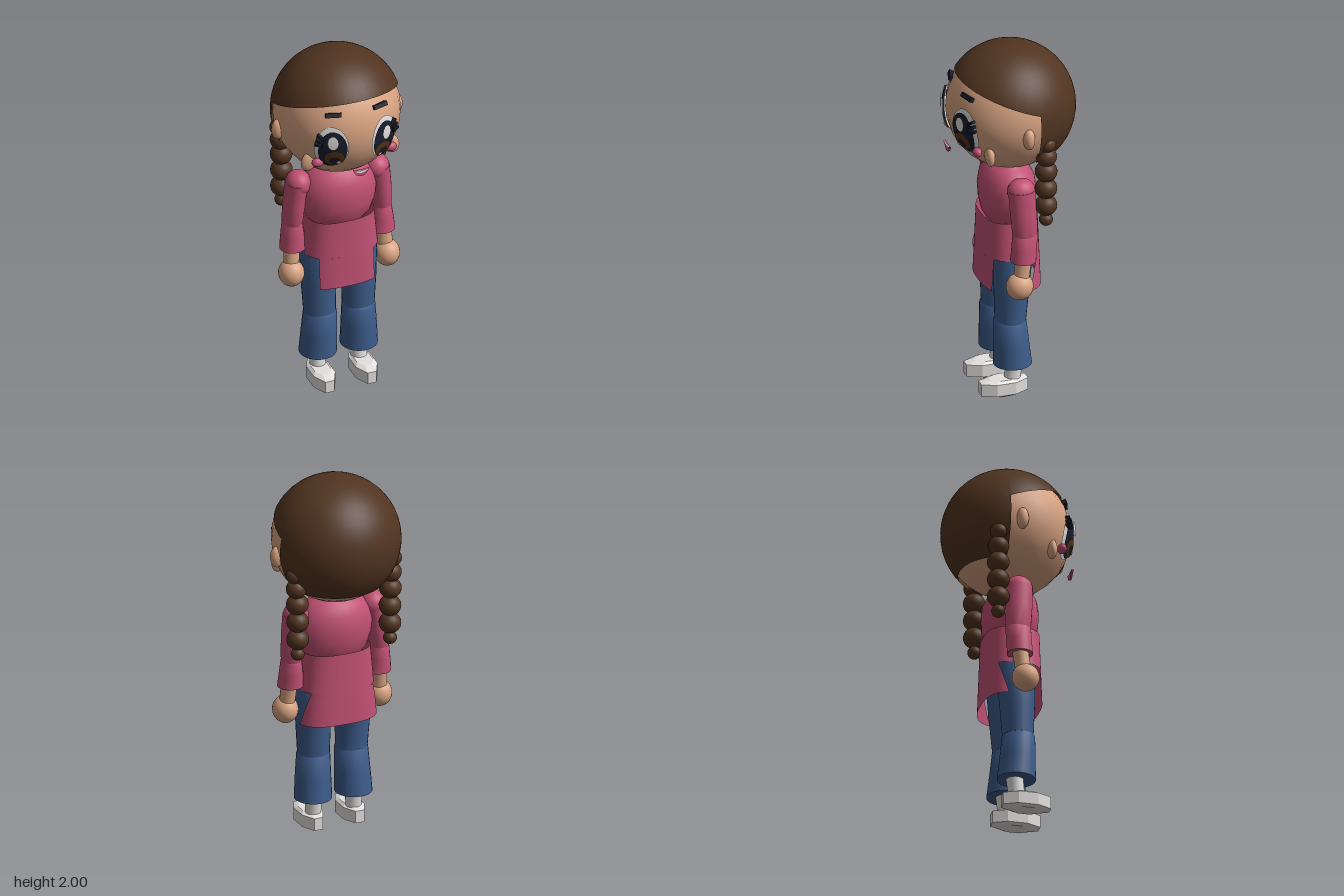
import * as THREE from 'three';
import { toCreasedNormals } from 'three/addons/utils/BufferGeometryUtils.js';

const mat = (name, color) => new THREE.MeshStandardMaterial({ name, color, side: THREE.DoubleSide });

// Grid surface from a rule f(u, v) -> [x, y, z], u and v in 0..1
function surface(f, nu, nv, crease = 0.7) {
  const pos = [], idx = [];
  for (let j = 0; j <= nv; j++) for (let i = 0; i <= nu; i++) pos.push(...f(i / nu, j / nv));
  for (let j = 0; j < nv; j++) for (let i = 0; i < nu; i++) {
    const a = j * (nu + 1) + i, b = a + nu + 1;
    idx.push(a, a + 1, b + 1, a, b + 1, b);
  }
  const g = new THREE.BufferGeometry();
  g.setAttribute('position', new THREE.Float32BufferAttribute(pos, 3));
  g.setIndex(idx);
  return toCreasedNormals(g, crease);
}

// Closed loft through horizontal ellipses [y, cx, rx, cz, rz], listed bottom to top
function loft(sections, segs = 24, crease = 0.7) {
  const first = sections[0], last = sections[sections.length - 1];
  const rings = [[first[0], first[1], 0, first[3], 0], ...sections, [last[0], last[1], 0, last[3], 0]];
  return surface((u, v) => {
    const [y, cx, rx, cz, rz] = rings[Math.round(v * (rings.length - 1))];
    const a = (u * 2 - 1) * Math.PI + Math.PI / segs;
    return [cx + rx * Math.sin(a), y, cz + rz * Math.cos(a)];
  }, segs, rings.length - 1, crease);
}

export function createModel() {
  const skin = mat('skin', 0xd9a482), hair = mat('hair brown', 0x513420), pink = mat('pink cloth', 0xc25175);
  const denim = mat('denim', 0x3d5c8a), white = mat('white', 0xe4e2e0), dark = mat('black', 0x1a1e2c);
  const iris = mat('iris brown', 0x5c3517);
  const model = new THREE.Group();

  const add = (parent, name, geo, material, p = [0, 0, 0], r = [0, 0, 0]) => {
    const m = new THREE.Mesh(geo, material);
    m.name = name;
    m.position.set(...p);
    m.rotation.set(...r);
    parent.add(m);
    return m;
  };
  const ball = (parent, name, material, p, rx, ry = rx, rz = rx, r) =>
    add(parent, name, new THREE.SphereGeometry(1, 24, 16), material, p, r).scale.set(rx, ry, rz);

  // Head
  const head = new THREE.Group();
  head.name = 'head';
  head.position.y = 1.65;
  model.add(head);
  const R = 0.34;
  ball(head, 'face', skin, [0, 0, 0], R);

  // Hair: tilted cap, plus a back shell cut at the ears and the nape
  const H = 0.352, tilt = Math.atan(0.368);
  add(head, 'hairCap', new THREE.SphereGeometry(H, 36, 12, 0, Math.PI * 2, 0, Math.acos(0.0915 / H)),
    hair, [0, 0, 0], [-tilt, 0, 0]);
  const t0 = 0.2, t1 = Math.acos(-0.24 / H);
  add(head, 'hairBack', surface((u, v) => {
    const t = t1 + (t0 - t1) * v, rho = H * Math.sin(t);
    const a = (1 - 2 * u) * Math.acos(Math.min(1, 0.06 / rho));
    return [rho * Math.sin(a), H * Math.cos(t), -rho * Math.cos(a)];
  }, 24, 16), hair);

  // Thin oval that follows the curve of the face
  const decal = (name, material, cx, cy, rx, ry, lift) => {
    const g = surface((u, v) => {
      const a = u * Math.PI * 2, k = 1 - v;
      const x = cx + rx * k * Math.cos(a), y = cy + ry * k * Math.sin(a);
      return [x, y, Math.sqrt((R + lift) ** 2 - x * x - y * y)];
    }, 28, 4);
    add(head, name, g, material);
  };

  for (const s of [1, -1]) {
    decal('eyeWhite', white, s * 0.148, -0.043, 0.083, 0.132, 0.006);
    decal('eyeDark', dark, s * 0.146, -0.05, 0.07, 0.116, 0.013);
    decal('iris', iris, s * 0.138, -0.103, 0.05, 0.05, 0.018);
    decal('pupil', dark, s * 0.138, -0.115, 0.026, 0.026, 0.021);
    decal('eyeShine', white, s * 0.153, 0.005, 0.027, 0.042, 0.026);
    decal('eyeGlint', white, s * 0.118, -0.125, 0.011, 0.011, 0.026);
    // Lashes, brows, ears and cheeks
    for (let i = 0; i < 3; i++)
      add(head, 'eyelash', new THREE.BoxGeometry(0.045, 0.013, 0.022), dark,
        [s * (0.205 + i * 0.006), 0.03 - i * 0.022, 0.285], [0, s * 0.6, s * (0.6 - i * 0.25)]);
    add(head, 'eyebrow', new THREE.BoxGeometry(0.086, 0.024, 0.026), dark,
      [s * 0.132, 0.148, 0.28], [-0.45, s * 0.25, s * 0.12]);
    ball(head, 'ear', skin, [s * 0.335, -0.05, 0.005], 0.037, 0.06, 0.032);
    ball(head, 'cheek', skin, [s * 0.232, -0.165, 0.19], 0.045, 0.06, 0.026, [0, 0, s * 0.4]);
    ball(head, 'blush', pink, [s * 0.208, -0.145, 0.25], 0.034, 0.026, 0.024);
    // Braids
    [[1.53, 0.285, 0.048], [1.45, 0.275, 0.056], [1.36, 0.27, 0.06], [1.26, 0.268, 0.06],
      [1.16, 0.268, 0.06], [1.075, 0.268, 0.037]].forEach(([y, x, r]) =>
      ball(model, 'braid', hair, [s * x, y, -0.112], r, r * 0.95, r));
  }

  // Smiling mouth with a strip of teeth
  const smile = new THREE.Shape();
  smile.moveTo(-0.045, 0);
  smile.quadraticCurveTo(-0.03, -0.042, 0, -0.042).quadraticCurveTo(0.03, -0.042, 0.045, 0);
  smile.quadraticCurveTo(0, -0.012, -0.045, 0);
  add(head, 'mouth', new THREE.ExtrudeGeometry(smile, { depth: 0.009, bevelEnabled: false }), pink, [0, -0.18, 0.34]);
  const teeth = new THREE.Shape();
  teeth.moveTo(-0.043, 0);
  teeth.quadraticCurveTo(0, -0.04, 0.043, 0).quadraticCurveTo(0, -0.012, -0.043, 0);
  add(head, 'teeth', new THREE.ExtrudeGeometry(teeth, { depth: 0.004, bevelEnabled: false }), white, [0, -0.18, 0.349]);

  // Tunic top with collar
  add(model, 'tunicTop', loft([[1.36, 0.075], [1.325, 0.1], [1.31, 0.135], [1.285, 0.165], [1.24, 0.198],
    [1.17, 0.212], [1.1, 0.206], [1.03, 0.185], [1.0, 0.16]].reverse().map(([y, r]) => [y, 0, r, 0.015, r * 0.71])), pink);

  // Tunic skirt: full upper band, then front and back panels with side slits
  const P = 2.7, cz = 0.015, slitY = 0.82, hemY = 0.635, topY = 1.035;
  const rxAt = y => 0.19 + (topY - y) * 0.09;
  const rzAt = y => 0.148 + (topY - y) * 0.03;
  const depth = (x, y) => rzAt(y) * Math.max(0, 1 - Math.abs(x / rxAt(y)) ** P) ** (1 / P);
  add(model, 'skirtBand', surface((u, v) => {
    const y = slitY + (topY - slitY) * v, a = (u * 2 - 1) * Math.PI;
    const sx = Math.sin(a), c = Math.cos(a);
    return [rxAt(y) * Math.sign(sx) * Math.abs(sx) ** (2 / P), y, cz + rzAt(y) * Math.sign(c) * Math.abs(c) ** (2 / P)];
  }, 48, 4), pink);
  add(model, 'skirtTop', loft([[1.034, 0, 0.18, cz, 0.13], [1.036, 0, 0.18, cz, 0.13]]), pink);
  add(model, 'skirtFront', surface((u, v) => {
    const y = hemY + (slitY - hemY) * v, x = 0.155 * (2 * u - 1);
    return [x, y, cz + depth(x, y)];
  }, 20, 4), pink);
  add(model, 'skirtBack', surface((u, v) => {
    const y = hemY + (slitY - hemY) * v, edge = 0.055 + 0.05 * v;
    const limit = rxAt(y) * (1 - (edge / rzAt(y)) ** P) ** (1 / P);
    const x = limit * Math.sin((0.5 - u) * Math.PI);
    return [x, y, cz - depth(x, y)];
  }, 28, 4), pink);

  for (const s of [1, -1]) {
    // Sleeves and hands
    ball(model, 'shoulder', pink, [s * 0.222, 1.24, 0.01], 0.069, 0.07, 0.076);
    add(model, 'upperSleeve', loft([[0.985, s * 0.253, 0.05, 0, 0.062], [1.01, s * 0.252, 0.055, 0, 0.069],
      [1.12, s * 0.245, 0.059, 0.005, 0.073], [1.25, s * 0.23, 0.062, 0.01, 0.074]]), pink);
    add(model, 'lowerSleeve', loft([[0.845, s * 0.254, 0.071, 0.01, 0.069], [0.92, s * 0.254, 0.063, 0.005, 0.068],
      [0.99, s * 0.253, 0.054, 0, 0.069], [1.01, s * 0.252, 0.045, 0, 0.06]]), pink);
    add(model, 'wrist', loft([[0.74, s * 0.268, 0.042, 0.025, 0.042], [0.86, s * 0.26, 0.044, 0.01, 0.044]], 16), skin);
    ball(model, 'hand', skin, [s * 0.272, 0.703, 0.036], 0.069, 0.075, 0.074);

    // Jeans
    add(model, 'thigh', loft([[0.43, s * 0.11, 0.087, 0.033, 0.083], [0.6, s * 0.114, 0.094, 0.028, 0.094],
      [0.83, s * 0.118, 0.097, 0.02, 0.106], [0.9, s * 0.105, 0.08, 0.02, 0.1]]), denim);
    add(model, 'shin', loft([[0.175, s * 0.117, 0.101, 0.023, 0.104], [0.3, s * 0.114, 0.096, 0.03, 0.096],
      [0.425, s * 0.11, 0.09, 0.036, 0.089], [0.445, s * 0.11, 0.075, 0.036, 0.075]]), denim);

    // Ankles and faceted shoes
    add(model, 'ankle', loft([[0.08, s * 0.117, 0.043, 0.025, 0.045], [0.2, s * 0.117, 0.046, 0.012, 0.047]], 16), white);
    add(model, 'shoe', loft([[0.002, s * 0.12, 0.049, 0.075, 0.082], [0.015, s * 0.12, 0.066, 0.075, 0.141],
      [0.083, s * 0.12, 0.066, 0.075, 0.141], [0.096, s * 0.12, 0.049, 0.075, 0.082]], 8, 0.05), white);
  }
  return model;
}
